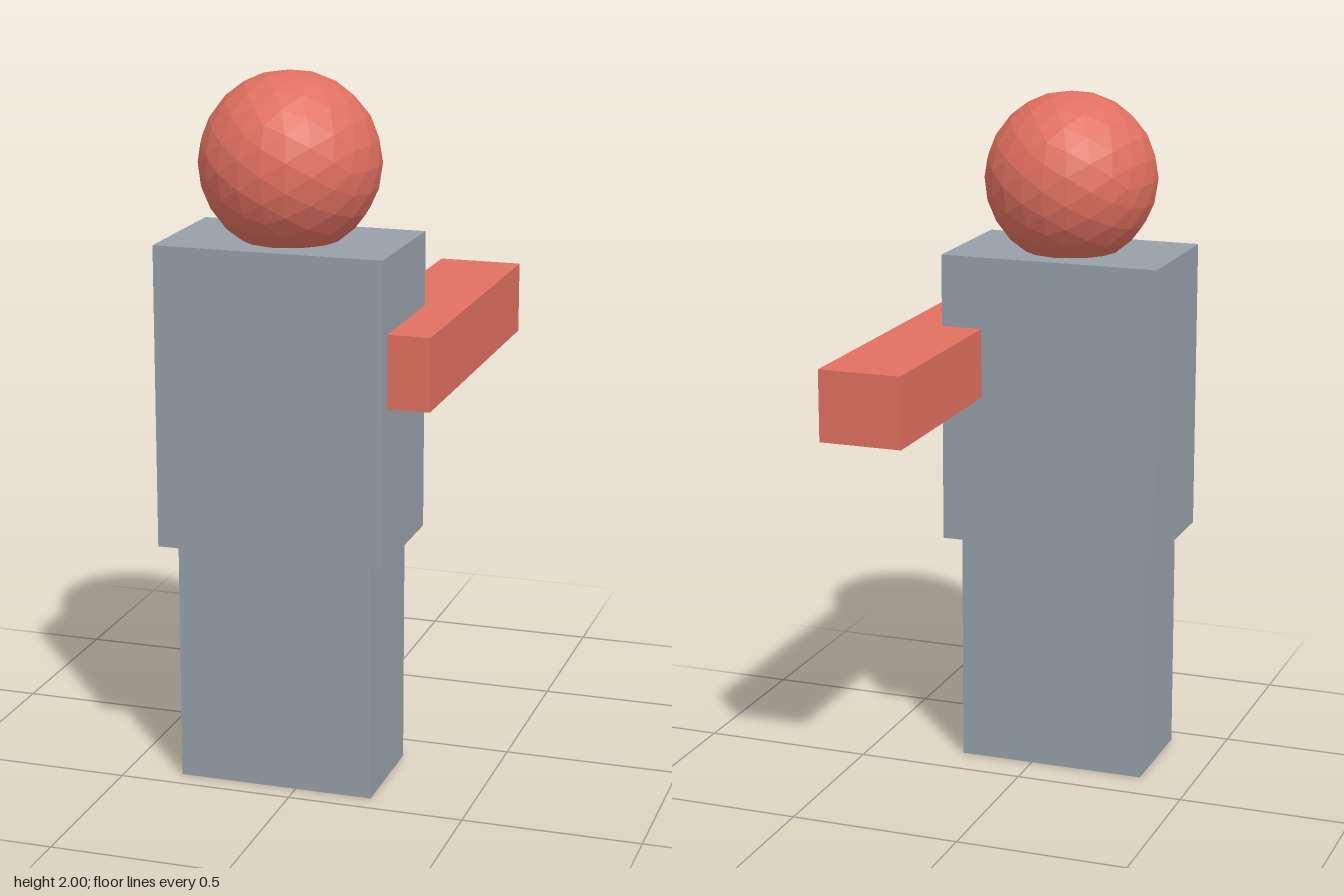
import * as THREE from 'three';

export function createModel() {
  const model = new THREE.Group();
  const red = new THREE.MeshStandardMaterial({ color: 0xe07060, flatShading: true });
  const slate = new THREE.MeshStandardMaterial({ color: 0x969fa8, flatShading: true });

  function add(name, geometry, material, x, y, z) {
    const mesh = new THREE.Mesh(geometry, material);
    mesh.name = name;
    mesh.position.set(x, y, z);
    model.add(mesh);
  }

  // Lower block, standing on the ground
  add('legs', new THREE.BoxGeometry(0.56, 0.69, 0.32), slate, -0.06, 0.345, 0.278);

  // Slightly wider upper body
  add('torso', new THREE.BoxGeometry(0.646, 0.85, 0.404), slate, -0.061, 1.116, 0.277);

  // Faceted head, sunk a little into the torso
  add('head', new THREE.IcosahedronGeometry(0.25, 3), red, -0.061, 1.75, 0.277);

  // Single arm, partly inside the torso and reaching backwards
  add('arm', new THREE.BoxGeometry(0.24, 0.204, 0.964), red, 0.261, 1.23, -0.046);

  return model;
}
